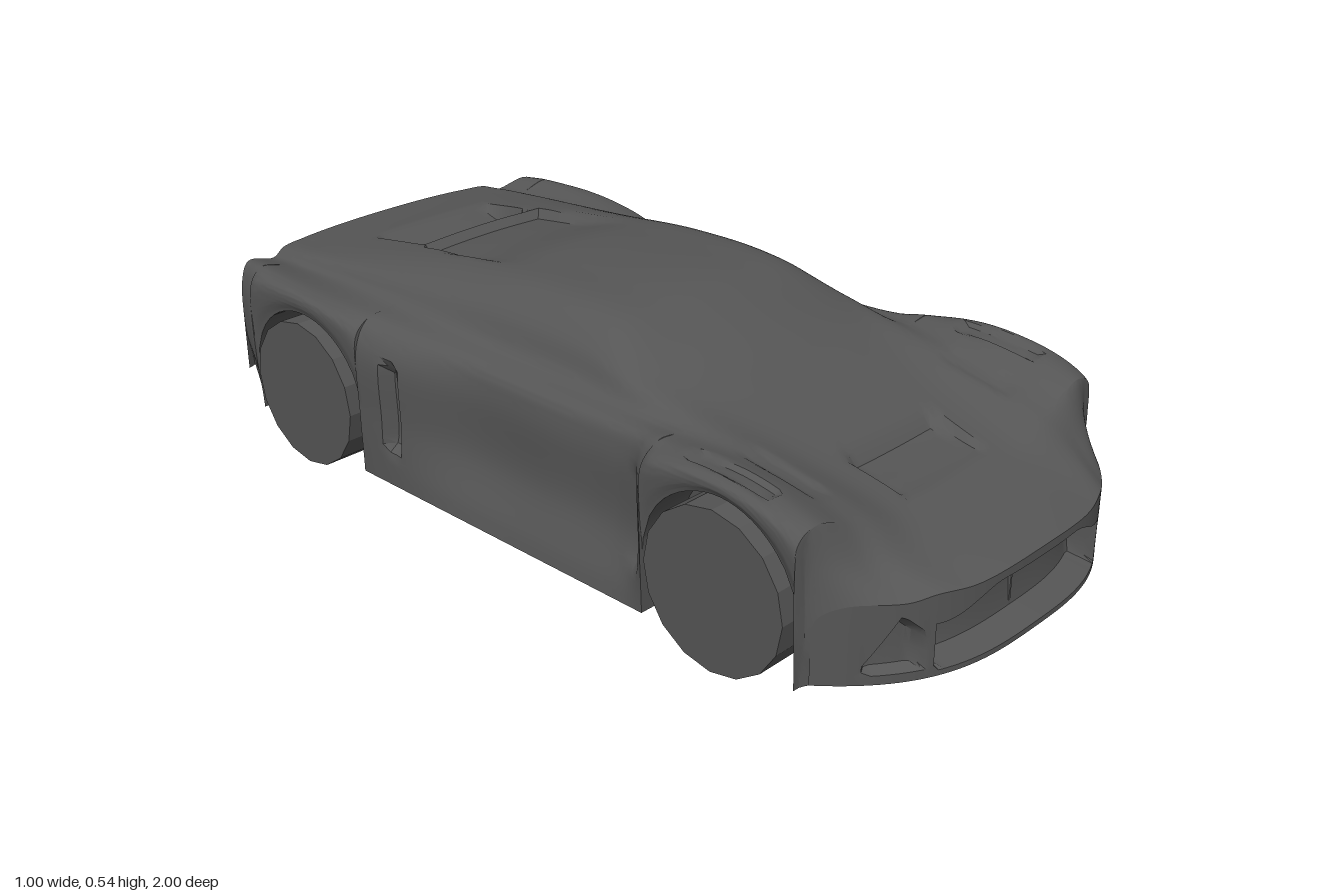
import * as THREE from 'three';
import { toCreasedNormals } from 'three/addons/utils/BufferGeometryUtils.js';

const paint = new THREE.MeshStandardMaterial({ color: 0x555555 });
paint.name = 'dark grey';

// Cross-section keys: z, half width, fender x/y, gutter x/y, roof edge x/y, centre y
const KEYS = [
  [-1, 0.48, 0.45, 0.425, 0.36, 0.405, 0.26, 0.425, 0.43],
  [-0.88, 0.495, 0.46, 0.43, 0.36, 0.412, 0.27, 0.437, 0.442],
  [-0.7, 0.495, 0.46, 0.425, 0.36, 0.418, 0.27, 0.46, 0.47],
  [-0.4, 0.48, 0.44, 0.4, 0.365, 0.42, 0.25, 0.5, 0.517],
  [-0.15, 0.44, 0.42, 0.385, 0.36, 0.415, 0.255, 0.523, 0.54],
  [0.1, 0.44, 0.42, 0.385, 0.36, 0.41, 0.26, 0.515, 0.535],
  [0.25, 0.44, 0.42, 0.388, 0.37, 0.405, 0.28, 0.455, 0.482],
  [0.34, 0.45, 0.425, 0.395, 0.37, 0.402, 0.265, 0.43, 0.445],
  [0.4, 0.49, 0.44, 0.405, 0.37, 0.402, 0.25, 0.41, 0.415],
  [0.6, 0.49, 0.43, 0.41, 0.35, 0.385, 0.22, 0.355, 0.35],
  [0.79, 0.49, 0.44, 0.37, 0.34, 0.34, 0.2, 0.305, 0.3],
  [0.9, 0.475, 0.44, 0.29, 0.35, 0.27, 0.22, 0.26, 0.257],
  [1, 0.46, 0.42, 0.22, 0.33, 0.22, 0.2, 0.225, 0.23],
];
const AXLES = [0.595, -0.69];
const ARCH = 0.197, WHEEL = 0.177, HUB_Y = 0.178;

const smooth = THREE.MathUtils.smoothstep;
const within = (v, lo, hi, s = 0.015) => smooth(v, lo, lo + s) * (1 - smooth(v, hi - s, hi));

// Smooth interpolation of the section keys at one station
function keyAt(z) {
  let i = 0;
  while (i < KEYS.length - 2 && z > KEYS[i + 1][0]) i++;
  const slope = (k, c) => {
    const a = KEYS[Math.max(0, k - 1)], b = KEYS[Math.min(KEYS.length - 1, k + 1)];
    return (b[c] - a[c]) / (b[0] - a[0]);
  };
  const p = KEYS[i], q = KEYS[i + 1], h = q[0] - p[0], t = (z - p[0]) / h;
  return p.map((v, c) => (2 * t ** 3 - 3 * t * t + 1) * v + (t ** 3 - 2 * t * t + t) * h * slope(i, c)
    + (3 * t * t - 2 * t ** 3) * q[c] + (t ** 3 - t * t) * h * slope(i + 1, c));
}

const floorY = (z) => (z < -0.8 ? 0.04 + 0.12 * ((-0.8 - z) / 0.2) ** 1.5 : 0.04 + 0.01 * smooth(z, 0.8, 1));
// Straight side skirt between the wheels, tucked in at both ends
const sillX = (z) => (z > 0.793 || z < -0.888 ? keyAt(z)[1] - 0.02 : 0.485);

// Bow the nose and tail in plan
function bow(x, z) {
  const a = Math.abs(x);
  if (z > 0.79) return 0.79 + (z - 0.79) * Math.max(0.05, 1 - 0.9 * (a / 0.46) ** 3);
  if (z < -0.88) return -0.88 + (z + 0.88) * (1 - 0.5 * (a / 0.48) ** 3);
  return z;
}

// Hood scoop, lamp hollows, engine cover and side intakes
function dent(x, y, z) {
  const a = Math.abs(x);
  if (y > 0.28) {
    y -= 0.026 * within(a, -1, 0.145) * within(z, 0.615, 0.77) * (1 - 0.6 * smooth(z, 0.63, 0.77));
    y -= 0.008 * within(a, 0.29, 0.36, 0.02) * within(z, 0.52, 0.72, 0.03);
    y -= 0.012 * within(a, 0.405, 0.465) * within(z, 0.48, 0.7);
    y -= 0.022 * within(a, -1, 0.19) * (1 - smooth(z, -0.48, -0.25)) * smooth(z, -0.62, -0.6);
    y -= 0.055 * within(a, -1, 0.175) * within(z, -0.82, -0.635) * smooth(z, -0.85, -0.66);
  }
  if (a > 0.42) {
    const slot = within(z, -0.42, -0.36) + 0.5 * within(z, 0.335, 0.385);
    x -= Math.sign(x) * 0.03 * slot * within(y, 0.11, 0.34, 0.03);
  }
  return [x, y, z];
}

// Upper outline from the left sill over the roof to the right sill
function outline(z, sx, sy) {
  const [, w, fx, fy, gx, gy, rx, ry, cy] = keyAt(z);
  const up = (t) => sy + t * (fy - sy);
  const half = [[sx, sy], [0.8 * sx + 0.2 * w, up(0.1)], [w, up(0.4)], [w - 0.004, up(0.85)],
    [fx, fy], [gx, gy], [(gx + rx) / 2 + 0.015, (gy + ry) / 2 + 0.006], [rx, ry], [rx / 2, ry + 0.75 * (cy - ry)]];
  const pts = [...half, [0, cy], ...half.map(([x, y]) => [-x, y]).reverse()];
  return new THREE.CatmullRomCurve3(pts.map(([x, y]) => new THREE.Vector3(x, y, 0)), false, 'centripetal').getPoints(126);
}

// Closed body ring; inside an arch the sill rises over the wheel
function ring(z, axle) {
  const b = floorY(z), open = axle !== undefined;
  const sy = open ? HUB_Y + Math.sqrt(Math.max(0, ARCH ** 2 - (z - axle) ** 2)) : b;
  const sx = open ? keyAt(z)[1] - 0.008 : sillX(z);
  const inner = open ? 0.31 : sx - 0.02;
  const side = [];
  for (let i = 0; i <= 8; i++) side.push([inner * i / 8, b]);
  side.push([open ? 0.37 : inner, sy]);
  const mirrored = side.map(([x, y]) => [-x, y]).reverse();
  return [...side, ...outline(z, sx, sy).map((p) => [p.x, p.y]), ...mirrored].map(([x, y]) => dent(x, y, bow(x, z)));
}

// Skin a table of points
function skin(rows, crease) {
  const n = rows[0].length, index = [];
  for (let i = 0; i < rows.length - 1; i++) {
    for (let j = 0; j < n - 1; j++) {
      const a = i * n + j, d = a + n;
      index.push(a, a + 1, d + 1, a, d + 1, d);
    }
  }
  const g = new THREE.BufferGeometry();
  g.setAttribute('position', new THREE.Float32BufferAttribute(rows.flat(2), 3));
  g.setIndex(index);
  return toCreasedNormals(g, crease);
}

function bodyShell() {
  const stations = [];
  for (let i = 0; i <= 100; i++) {
    const z = -1 + i * 0.02;
    stations.push([z, AXLES.find((c) => Math.abs(z - c) < ARCH - 0.001)]);
  }
  // Paired stations make the wheel-well end walls
  for (const c of AXLES) {
    for (const s of [-1, 1]) {
      stations.push([c + s * (ARCH + 0.0005), undefined], [c + s * ARCH, c], [c + s * ARCH * 0.985, c]);
    }
  }
  stations.sort((p, q) => p[0] - q[0]);
  return skin(stations.map(([z, axle]) => ring(z, axle)), 0.6);
}

// End face with openings: opening(x) gives bottom, top and depth of the recess at that column
function fascia(end, opening) {
  const b = floorY(end);
  const columns = outline(end, sillX(end), b).map((p) => {
    const [bottom, top, depth] = opening(Math.abs(p.x));
    const hi = Math.max(b, Math.min(top, p.y - 0.008)), lo = Math.min(bottom, hi);
    const slope = Math.min(0.012, (hi - lo) / 3), mid = (lo + hi) / 2;
    const rows = [[b, 0], [lo, 0], [lo + slope, 0.9], [mid, 1], [hi - slope, 0.9], [hi, 0], [p.y, 0]];
    return rows.map(([y, d]) => [p.x, y, bow(p.x, end) - end * depth * d]);
  });
  if (end < 0) columns.reverse();
  return skin(columns, 0.6);
}

// Wide grille mouth with a slanted duct on each side
function noseOpening(x) {
  if (x < 0.285) {
    const top = 0.21 - 0.045 * smooth(x, 0.12, 0.27);
    return [0.062, top, 0.07 * (1 - smooth(x, 0.255, 0.28))];
  }
  const top = x < 0.34 ? 0.14 + (x - 0.285) : 0.195 - 1.8 * (x - 0.34);
  return [0.07, top, 0.03 * within(x, 0.29, 0.4, 0.025)];
}

// Recessed tail panel between two lamp pockets
const tailOpening = (x) => [0.225, 0.362, 0.045 * within(x, -1, 0.235) + 0.03 * within(x, 0.25, 0.465)];

export function createModel() {
  const car = new THREE.Group();
  car.name = 'sportsCar';
  const add = (name, geometry) => {
    const mesh = new THREE.Mesh(geometry, paint);
    mesh.name = name;
    car.add(mesh);
    return mesh;
  };
  add('body', bodyShell());
  add('frontFascia', fascia(1, noseOpening));
  add('rearFascia', fascia(-1, tailOpening));

  // Grille divider
  add('grilleBar', new THREE.BoxGeometry(0.005, 0.135, 0.01)).position.set(0, 0.135, 0.932);

  // Wheels
  const tyre = toCreasedNormals(new THREE.CylinderGeometry(WHEEL, WHEEL, 0.145, 16).rotateZ(Math.PI / 2), 0.3);
  AXLES.forEach((z, i) => {
    for (const s of [1, -1]) {
      add((i ? 'rear' : 'front') + (s > 0 ? 'Left' : 'Right') + 'Wheel', tyre).position.set(s * 0.4275, WHEEL, z);
    }
  });
  return car;
}
